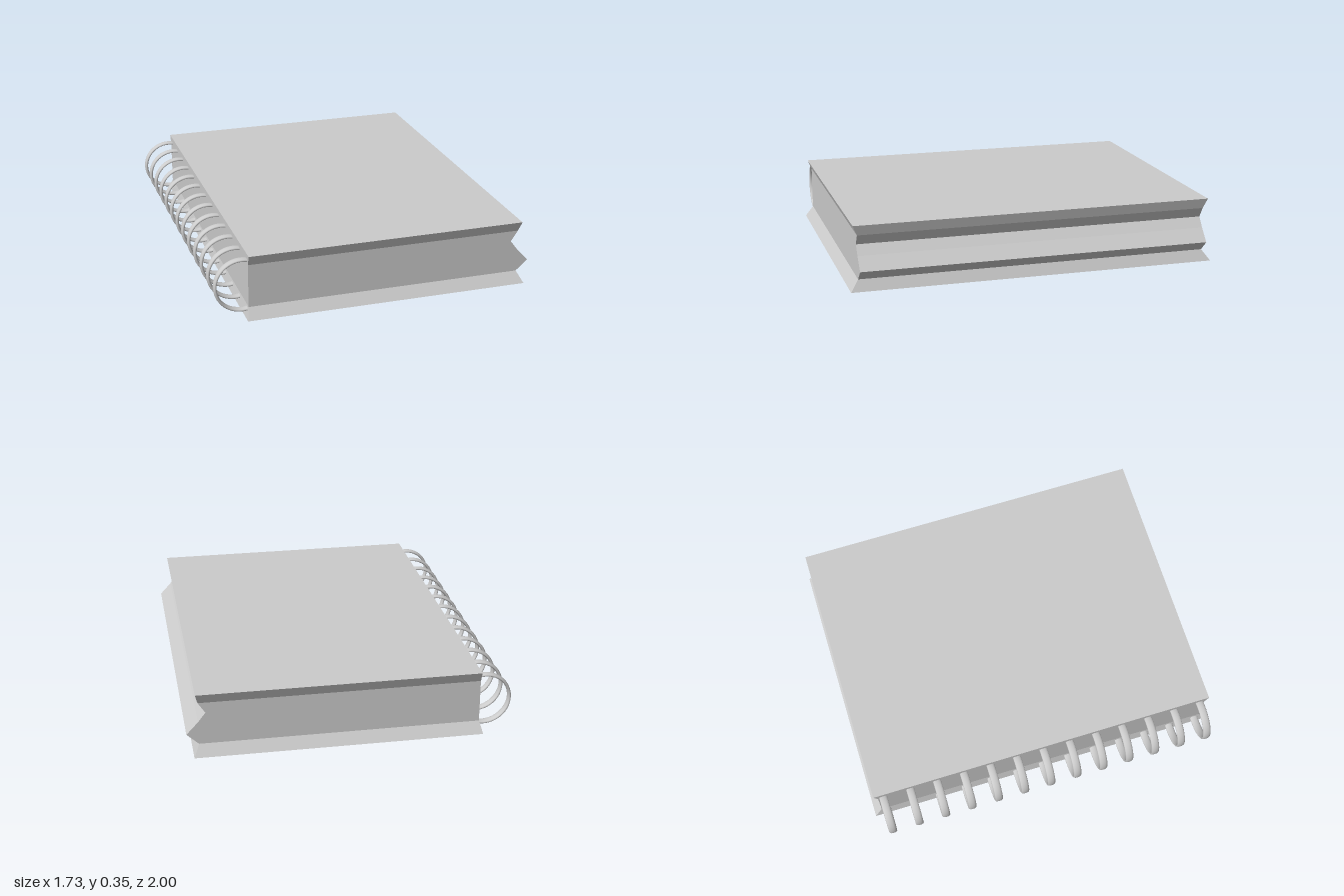
import * as THREE from 'three';

const material = new THREE.MeshStandardMaterial({ color: 0xcccccc, side: THREE.DoubleSide });
const flatMaterial = new THREE.MeshStandardMaterial({ color: 0xcccccc, flatShading: true, side: THREE.DoubleSide });

// Stacks rectangles [y, xMin, xMax, zHalf] into a closed solid
function stackedSolid(levels) {
  const positions = [];
  const index = [];
  for (const [y, x0, x1, z] of levels) {
    positions.push(x0, y, z, x1, y, z, x1, y, -z, x0, y, -z);
  }
  for (let i = 0; i < levels.length - 1; i++) {
    for (let k = 0; k < 4; k++) {
      const a = i * 4 + k, b = i * 4 + (k + 1) % 4;
      index.push(a, b, b + 4, a, b + 4, a + 4);
    }
  }
  const t = (levels.length - 1) * 4;
  index.push(0, 2, 1, 0, 3, 2, t, t + 1, t + 2, t, t + 2, t + 3);
  const indexed = new THREE.BufferGeometry();
  indexed.setAttribute('position', new THREE.Float32BufferAttribute(positions, 3));
  indexed.setIndex(index);
  const geometry = indexed.toNonIndexed();
  geometry.computeVertexNormals();
  return geometry;
}

export function createModel() {
  const model = new THREE.Group();
  model.name = 'ringNotebook';

  // Covers and page block: flared at top and bottom, zigzag fore edge
  const body = new THREE.Mesh(stackedSolid([
    [0, -0.705, 0.833, 1],
    [0.06, -0.69, 0.803, 0.957],
    [0.118, -0.69, 0.867, 0.957],
    [0.185, -0.69, 0.805, 0.957],
    [0.237, -0.69, 0.765, 0.957],
    [0.295, -0.69, 0.803, 0.957],
    [0.35, -0.69, 0.817, 0.98],
  ]), flatMaterial);
  body.name = 'coversAndPages';
  model.add(body);

  // Binding rings: flattened tubes, open where they enter the spine
  const rings = new THREE.Group();
  rings.name = 'bindingRings';
  const start = THREE.MathUtils.degToRad(72);
  const ringGeometry = new THREE.TorusGeometry(0.139, 0.009, 12, 40, 2 * (Math.PI - start));
  ringGeometry.rotateZ(start);
  ringGeometry.scale(1, 1, 2.5);
  const count = 13;
  for (let i = 0; i < count; i++) {
    const ring = new THREE.Mesh(ringGeometry, material);
    ring.name = 'bindingRing' + (i + 1);
    ring.position.set(-0.719, 0.178, -0.927 + i * 0.1545);
    rings.add(ring);
  }
  model.add(rings);

  return model;
}
